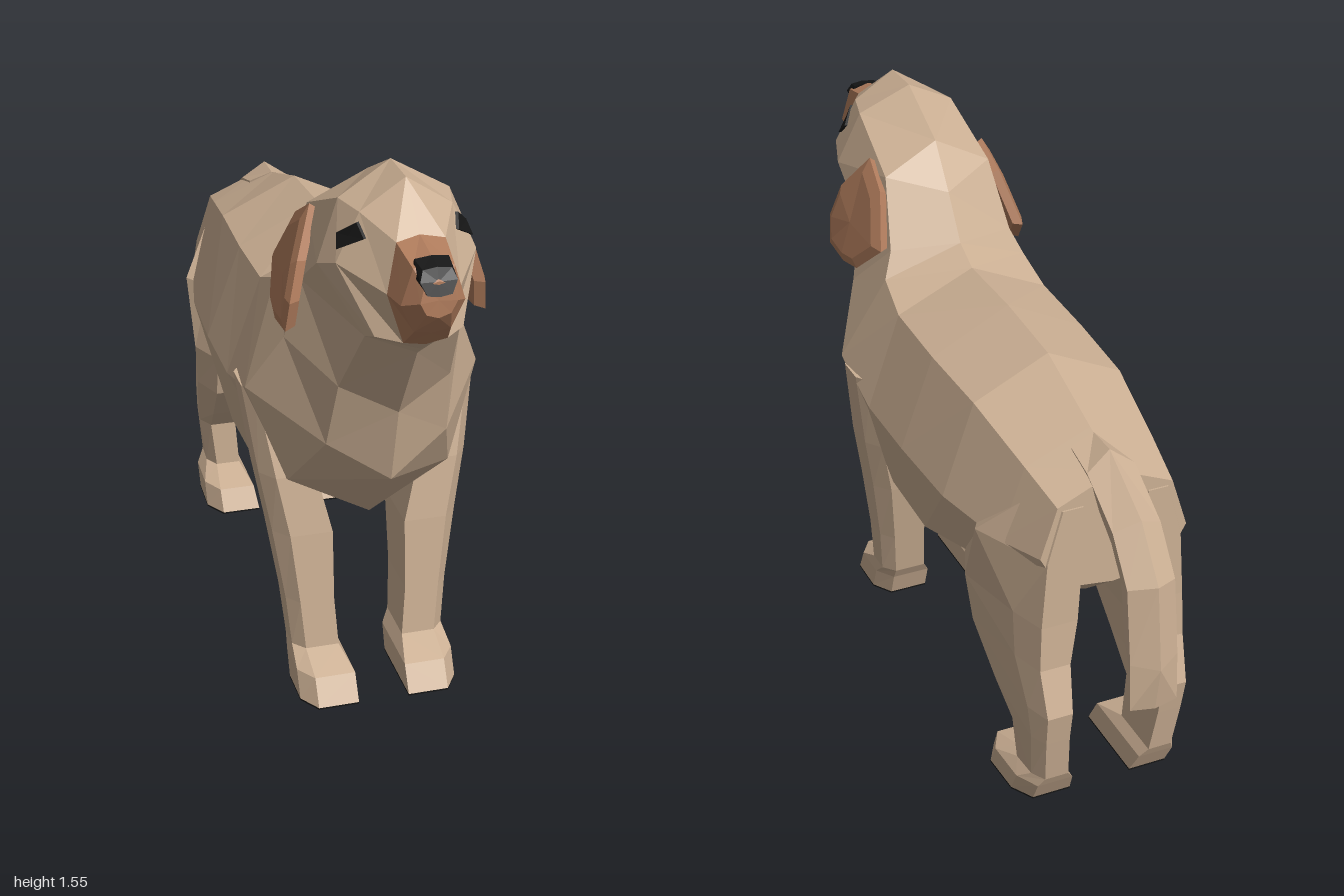
import * as THREE from 'three';

const material = (name, color) => {
  const m = new THREE.MeshStandardMaterial({ color });
  m.name = name;
  return m;
};

// Closed, faceted skin over rings of equal point count; always wound outwards.
function loft(rings) {
  const n = rings[0].length, tris = [];
  for (let i = 0; i < rings.length - 1; i++) {
    for (let j = 0; j < n; j++) {
      const k = (j + 1) % n;
      const a = rings[i][j], b = rings[i][k], c = rings[i + 1][k], d = rings[i + 1][j];
      if (j < n / 2) tris.push([a, b, c], [a, c, d]);
      else tris.push([a, b, d], [b, c, d]);
    }
  }
  const cap = (ring, flip) => {
    const mid = centre(ring);
    ring.forEach((p, j) => {
      const q = ring[(j + 1) % n];
      tris.push(flip ? [mid, q, p] : [mid, p, q]);
    });
  };
  cap(rings[0], true);
  cap(rings[rings.length - 1], false);
  let volume = 0;
  const cross = new THREE.Vector3();
  for (const [a, b, c] of tris) volume += a.dot(cross.crossVectors(b, c));
  if (volume < 0) tris.forEach((t) => t.reverse());
  const geometry = new THREE.BufferGeometry().setFromPoints(tris.flat());
  geometry.computeVertexNormals();
  return geometry;
}

const V = (x, y, z) => new THREE.Vector3(x, y, z);
const centre = (ring) => ring.reduce((s, p) => s.add(p), V(0, 0, 0)).divideScalar(ring.length);

// Full ring from a half outline running from top centre to bottom centre.
function mirrored(half) {
  const pts = half.map((p) => V(...p));
  const other = pts.slice(1, -1).reverse().map((p) => V(-p.x, p.y, p.z));
  return [...pts, ...other];
}

// Upright torso section: top, upper side, widest, lower side, bottom.
const section = (z, top, xu, yu, xw, yw, xl, yl, bottom) =>
  [[0, top, z], [xu, yu, z], [xw, yw, z], [xl, yl, z], [0, bottom, z]];

// Horizontal six-sided leg section, flat on the inside.
function legRing(side, [y, xi, xf, xb, zb, zf]) {
  const d = zf - zb;
  return [
    [xi, zf], [xi + (xf - xi) * 0.75, zf], [xf, zf - d * 0.25],
    [xb, zb + d * 0.25], [xi + (xb - xi) * 0.75, zb], [xi, zb],
  ].map(([x, z]) => V(side * x, y, z));
}

export function createModel() {
  const model = new THREE.Group();
  model.name = 'dog';
  const tan = material('tan fur', 0xccb094);
  const brown = material('brown fur', 0xb07c5c);
  const black = material('black', 0x161616);
  const add = (name, geometry, mat) => {
    const mesh = new THREE.Mesh(geometry, mat);
    mesh.name = name;
    model.add(mesh);
    return mesh;
  };

  // Torso, chest, neck and skull as one skin
  const torso = [
    section(-0.73, 1.03, 0.16, 0.96, 0.205, 0.82, 0.15, 0.72, 0.7),
    section(-0.58, 1.075, 0.18, 1.0, 0.25, 0.8, 0.19, 0.64, 0.58),
    section(-0.33, 1.16, 0.21, 1.06, 0.3, 0.8, 0.23, 0.61, 0.48),
    section(-0.08, 1.18, 0.22, 1.07, 0.315, 0.81, 0.25, 0.54, 0.43),
    section(0.16, 1.18, 0.22, 1.08, 0.315, 0.81, 0.25, 0.55, 0.44),
  ];
  const neckAndSkull = [
    [[0, 1.22, 0.24], [0.21, 1.13, 0.28], [0.315, 0.87, 0.37], [0.22, 0.62, 0.44], [0, 0.5, 0.45]],
    [[0, 1.34, 0.32], [0.18, 1.2, 0.31], [0.235, 1.05, 0.47], [0.16, 0.8, 0.6], [0, 0.7, 0.645]],
    [[0, 1.46, 0.41], [0.155, 1.38, 0.4], [0.2, 1.22, 0.5], [0.145, 0.99, 0.66], [0, 0.92, 0.7]],
    [[0, 1.555, 0.6], [0.14, 1.48, 0.63], [0.2, 1.33, 0.66], [0.12, 1.19, 0.8], [0, 1.15, 0.84]],
    [[0, 1.555, 0.725], [0.115, 1.48, 0.73], [0.175, 1.36, 0.74], [0.11, 1.21, 0.85], [0, 1.17, 0.86]],
  ];
  const seam = [[0, 1.455, 0.84], [0.06, 1.445, 0.85], [0.09, 1.33, 0.88], [0.055, 1.21, 0.9], [0, 1.2, 0.9]];
  const body = add('body', loft([...torso, ...neckAndSkull, seam].map(mirrored)), tan);

  // Muzzle
  add('muzzle', loft([
    seam,
    [[0, 1.435, 0.95], [0.05, 1.42, 0.95], [0.078, 1.33, 0.95], [0.045, 1.26, 0.95], [0, 1.25, 0.945]],
    [[0, 1.4, 0.99], [0.035, 1.39, 0.99], [0.045, 1.35, 0.995], [0.03, 1.32, 0.995], [0, 1.31, 0.995]],
  ].map(mirrored)), brown);

  // Nose
  add('nose', loft([
    [[0, 1.44, 0.93], [0.042, 1.435, 0.93], [0.05, 1.4, 0.94], [0.04, 1.375, 0.95], [0, 1.37, 0.95]],
    [[0, 1.43, 0.975], [0.035, 1.425, 0.975], [0.045, 1.4, 0.99], [0.03, 1.37, 1], [0, 1.365, 1]],
  ].map(mirrored)), black);

  // Tail: ridge and underside as [z, y] pairs
  const tail = [
    [-0.6, 1.07, -0.62, 1.0], [-0.69, 1.07, -0.72, 0.93], [-0.87, 0.965, -0.8, 0.87],
    [-0.97, 0.83, -0.86, 0.79], [-1, 0.6, -0.89, 0.63], [-0.98, 0.47, -0.95, 0.485],
  ];
  add('tail', loft(tail.map(([zt, yt, zb, yb]) => mirrored([
    [0, yt, zt],
    [0.066, yt + (yb - yt) * 0.35, zt + (zb - zt) * 0.35],
    [0.045, yb, zb],
    [0, yb, zb],
  ]))), tan);

  // Leg sections: y, inner x, outer x front, outer x back, back z, front z
  const frontLeg = [
    [0.86, 0.2, 0.318, 0.318, 0.21, 0.38],
    [0.62, 0.14, 0.285, 0.285, 0.235, 0.43],
    [0.45, 0.1, 0.255, 0.255, 0.262, 0.45],
    [0.25, 0.1, 0.225, 0.225, 0.305, 0.465],
    [0.11, 0.09, 0.212, 0.212, 0.335, 0.475],
    [0.075, 0.07, 0.218, 0.218, 0.355, 0.57],
    [0.005, 0.07, 0.218, 0.218, 0.38, 0.61],
  ];
  const hindLeg = [
    [0.95, 0.09, 0.18, 0.165, -0.735, -0.6],
    [0.8, 0.09, 0.285, 0.22, -0.735, -0.43],
    [0.61, 0.1, 0.28, 0.235, -0.735, -0.325],
    [0.48, 0.12, 0.27, 0.235, -0.74, -0.36],
    [0.35, 0.13, 0.25, 0.225, -0.78, -0.48],
    [0.26, 0.13, 0.232, 0.22, -0.765, -0.58],
    [0.12, 0.12, 0.215, 0.21, -0.74, -0.58],
    [0.09, 0.1, 0.24, 0.235, -0.725, -0.47],
    [0.025, 0.09, 0.24, 0.235, -0.69, -0.44],
  ];
  // Ear rim, from the top round the back
  const earRim = [
    [0.17, 1.41, 0.48], [0.18, 1.35, 0.38], [0.215, 1.21, 0.295], [0.25, 1.12, 0.4],
    [0.26, 1.11, 0.48], [0.26, 1.12, 0.585], [0.252, 1.2, 0.6], [0.225, 1.3, 0.57],
  ];
  // Eye corners as [y, z], laid onto the skull
  const eye = [[1.46, 0.74], [1.42, 0.695], [1.39, 0.725], [1.43, 0.775]];
  body.updateMatrixWorld();
  const ray = new THREE.Raycaster();

  for (const [side, word] of [[1, 'left'], [-1, 'right']]) {
    for (const [name, rows] of [['FrontLeg', frontLeg], ['HindLeg', hindLeg]]) {
      add(word + name, loft(rows.map((r) => legRing(side, r))), tan);
      const foot = rows[rows.length - 1];
      const sole = [foot[0] - 0.005, ...foot.slice(1)];
      add(word + name + 'Sole', loft([legRing(side, foot), legRing(side, sole)]), black);
    }

    // Floppy ear: inner face, rim, slightly raised outer face
    const rim = earRim.map(([x, y, z]) => V(side * x, y, z));
    const mid = centre(rim);
    const inner = rim.map((p) => p.clone().lerp(mid, 0.08).add(V(-side * 0.025, 0, 0)));
    const outer = rim.map((p) => p.clone().lerp(mid, 0.22).add(V(side * 0.012, 0, 0)));
    add(word + 'Ear', loft([inner, rim, outer]), brown);

    // Eye plate
    const corners = eye.map(([y, z]) => {
      ray.set(V(side, y, z), V(-side, 0, 0));
      const hit = ray.intersectObject(body)[0];
      return hit ? hit.point : V(side * 0.135, y, z);
    });
    const shift = (d) => corners.map((p) => p.clone().add(V(side * d, 0, d * 0.5)));
    add(word + 'Eye', loft([shift(-0.001), shift(0.007)]), black);
  }
  return model;
}
